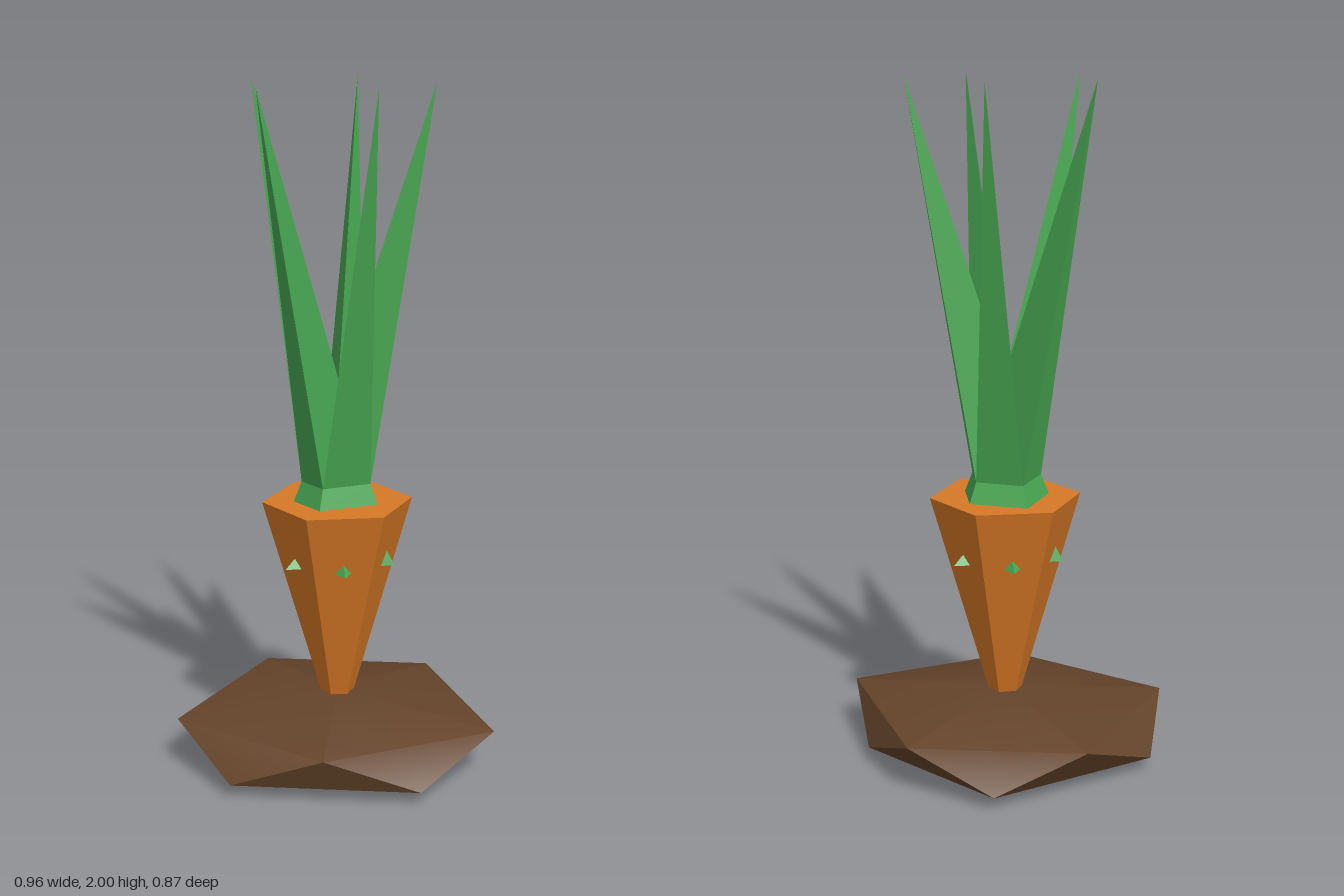
import * as THREE from 'three';
import { toCreasedNormals } from 'three/addons/utils/BufferGeometryUtils.js';
import { ConvexGeometry } from 'three/addons/geometries/ConvexGeometry.js';

const CX = -0.02, CZ = -0.01; // axis of the carrot

export function createModel() {
  const soil = new THREE.MeshStandardMaterial({ color: 0x64432a });
  soil.name = 'soil brown';
  const orange = new THREE.MeshStandardMaterial({ color: 0xd67826 });
  orange.name = 'carrot orange';
  const green = new THREE.MeshStandardMaterial({ color: 0x48a752 });
  green.name = 'leaf green';

  const model = new THREE.Group();
  model.name = 'carrotPlant';
  const add = (name, geometry, material, parent = model) => {
    const mesh = new THREE.Mesh(geometry, material);
    mesh.name = name;
    parent.add(mesh);
    return mesh;
  };
  const hull = (points) => new ConvexGeometry(points.map((p) => new THREE.Vector3(...p)));
  const flat = (geometry) => {
    const g = geometry.toNonIndexed();
    g.computeVertexNormals();
    return g;
  };
  const atHeight = (ring, y) => ring.map(([x, z]) => [x, y, z]);

  // Soil mound: two staggered rings of five with a low peak above and below
  const upperRing = [[0.48, -0.01], [0.105, 0.38], [-0.415, 0.275], [-0.375, -0.265], [0.11, -0.425]];
  const lowerRing = [[0.355, 0.26], [-0.165, 0.43], [-0.48, -0.01], [-0.16, -0.435], [0.315, -0.26]];
  const mound = hull([
    [CX, 0.2, CZ], ...atHeight(upperRing, 0.14), ...atHeight(lowerRing, 0.04), [CX, 0, CZ],
  ]);
  add('soilMound', toCreasedNormals(mound, 0.7), soil);

  // Six-sided tapering root, sunk slightly into the soil
  const root = add('root', flat(new THREE.CylinderGeometry(0.222, 0.038, 0.64, 6)), orange);
  root.position.set(CX, 0.47, CZ);

  // Collar at the foot of the leaves
  const foot = [[-0.11, -0.095], [0.03, -0.11], [0.085, -0.01], [-0.02, 0.095], [-0.11, 0.045]];
  const flared = foot.map(([x, z]) => [CX + (x - CX) * 1.24, CZ + (z - CZ) * 1.24]);
  add('leafCollar', hull([...atHeight(flared, 0.785), ...atHeight(foot, 0.85)]), green);

  // Five pointed leaves, each standing on one side of the collar and sharing an inner peak
  const tips = [[-0.075, -0.29], [0.225, -0.15], [0.185, 0.185], [-0.145, 0.25], [-0.305, -0.05]];
  const leaves = new THREE.Group();
  leaves.name = 'leaves';
  model.add(leaves);
  tips.forEach(([x, z], i) => {
    const base = atHeight([foot[i], foot[(i + 1) % 5]], 0.85);
    add('leaf', hull([...base, [CX, 1.15, -0.02], [x, 2, z]]), green, leaves);
  });

  // Small sprouts around the root, tall on the left and right, low on the others
  const sprouts = new THREE.Group();
  sprouts.name = 'sprouts';
  model.add(sprouts);
  for (let i = 0; i < 6; i++) {
    const angle = Math.PI / 6 + (i * Math.PI) / 3;
    const tall = i === 1 || i === 4;
    const height = tall ? 0.065 : 0.03;
    const sprout = add('sprout', flat(new THREE.ConeGeometry(0.036, height, 3)), green, sprouts);
    const reach = tall ? 0.146 : 0.152;
    sprout.position.set(CX + Math.sin(angle) * reach, 0.61 + height / 2, CZ + Math.cos(angle) * reach);
    sprout.rotation.y = angle;
  }
  // Turn the first sprout direction to the middle of each root face
  sprouts.children.forEach((sprout, i) => {
    const angle = Math.PI / 6 + (i * Math.PI) / 3;
    sprout.rotation.y = angle;
  });
  return model;
}
